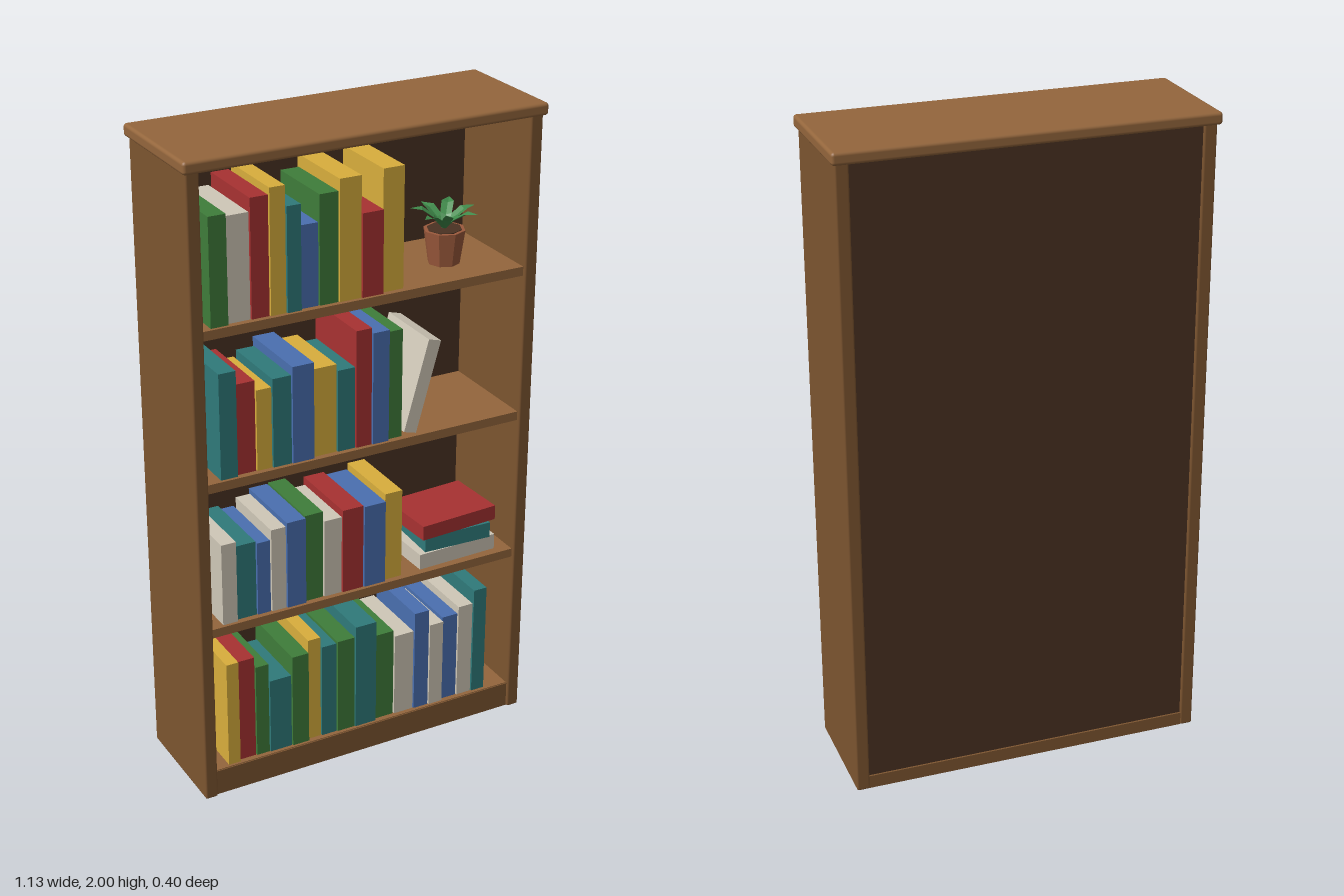
import * as THREE from 'three';
import { RoundedBoxGeometry } from 'three/addons/geometries/RoundedBoxGeometry.js';

const mat = (color, extra = {}) => Object.assign(new THREE.MeshStandardMaterial(extra), { color: new THREE.Color(color) });

const wood = mat(0x7d5530), lightWood = mat(0x94663c), darkWood = mat(0x4a3222);
const bookMats = {
  g: mat(0x3f7d3a), w: mat(0xd0c8b8), r: mat(0xa83232),
  y: mat(0xd9ae3c), t: mat(0x2f7a7a), b: mat(0x4a6fb0),
};

function add(parent, name, geometry, material, x, y, z) {
  const mesh = new THREE.Mesh(geometry, material);
  mesh.name = name;
  mesh.position.set(x, y, z);
  parent.add(mesh);
  return mesh;
}
const box = (w, h, d) => new THREE.BoxGeometry(w, h, d);

// Each row: floor height, left end, then [colour, thickness, height] per book
const rows = [
  { y: 1.51, x: -0.485, books: [['g', .056, .32], ['w', .071, .31], ['r', .057, .35], ['y', .05, .37], ['t', .046, .31],
    ['b', .057, .245], ['g', .061, .325], ['y', .071, .36], ['r', .069, .25], ['y', .07, .365]] },
  { y: 1.045, x: -0.467, books: [['t', .056, .326], ['r', .061, .28], ['y', .05, .25], ['t', .061, .275], ['b', .071, .3],
    ['y', .077, .275], ['t', .058, .255], ['r', .053, .366], ['b', .056, .35], ['g', .048, .34]] },
  { y: 0.575, x: -0.473, books: [['w', .05, .263], ['t', .066, .243], ['b', .045, .237], ['w', .05, .27], ['b', .064, .282],
    ['g', .061, .285], ['w', .061, .253], ['r', .071, .274], ['b', .074, .27], ['y', .061, .29]] },
  { y: 0.085, x: -0.467, books: [['y', .042, .35], ['r', .056, .345], ['g', .045, .31], ['t', .074, .25], ['g', .058, .313],
    ['y', .045, .35], ['t', .053, .315], ['g', .061, .32], ['t', .074, .355], ['g', .066, .3], ['w', .069, .28],
    ['b', .053, .342], ['w', .05, .288], ['b', .056, .297], ['w', .053, .32], ['t', .048, .366]] },
];

function makeBookRow({ y, x, books }) {
  const row = new THREE.Group();
  row.name = 'bookRow';
  books.forEach(([c, w, h], i) => {
    const depth = 0.235 + 0.008 * ((i * 5) % 3);
    const front = 0.165 - 0.003 * ((i * 3) % 4);
    add(row, 'book', box(w - 0.003, h, depth), bookMats[c], x + w / 2, y + h / 2, front - depth / 2);
    x += w;
  });
  return row;
}

// Folded leaf that rises and arches outward along +x
function leafGeometry() {
  const stations = [[0, 0, 0.005], [0.03, 0.035, 0.017], [0.065, 0.06, 0.018], [0.1, 0.066, 0.001]];
  const pos = [], idx = [];
  stations.forEach(([x, y, w], i) => {
    pos.push(x, y + w * 0.35, -w, x, y, 0, x, y + w * 0.35, w);
    if (i === 0) return;
    const a = (i - 1) * 3, b = i * 3;
    for (let k = 0; k < 2; k++) idx.push(a + k, a + k + 1, b + k, a + k + 1, b + k + 1, b + k);
  });
  const g = new THREE.BufferGeometry();
  g.setAttribute('position', new THREE.Float32BufferAttribute(pos, 3));
  g.setIndex(idx);
  g.computeVertexNormals();
  return g;
}

function makePlant() {
  const plant = new THREE.Group();
  plant.name = 'pottedPlant';
  const clay = mat(0x9c5a3c, { flatShading: true });
  const leafMat = mat(0x3f8a4a, { flatShading: true, side: THREE.DoubleSide });
  add(plant, 'pot', new THREE.CylinderGeometry(0.063, 0.048, 0.103, 8), clay, 0, 0.0515, 0);
  add(plant, 'soil', new THREE.CylinderGeometry(0.052, 0.052, 0.004, 8), darkWood, 0, 0.103, 0);
  const leaf = leafGeometry();
  for (let i = 0; i < 7; i++) {
    const m = add(plant, 'leaf', leaf, leafMat, 0, 0.1, 0);
    m.rotation.y = (i / 7) * Math.PI * 2;
    m.scale.y = i % 2 ? 1 : 0.88;
  }
  return plant;
}

export function createModel() {
  const model = new THREE.Group();
  model.name = 'bookcase';

  // Case
  for (const s of [-1, 1]) {
    add(model, s > 0 ? 'leftSide' : 'rightSide', new RoundedBoxGeometry(0.04, 1.97, 0.372, 1, 0.006), wood, s * 0.533, 0.985, 0);
  }
  add(model, 'topBoard', new RoundedBoxGeometry(1.128, 0.037, 0.396, 2, 0.01), lightWood, 0, 1.9815, 0);
  add(model, 'backPanel', box(1.03, 1.93, 0.012), darkWood, 0, 1.005, -0.171);
  add(model, 'plinth', box(1.03, 0.082, 0.34), wood, 0, 0.042, 0.007);
  add(model, 'backRail', box(1.03, 0.042, 0.02), wood, 0, 0.022, -0.173);
  add(model, 'bottomShelf', box(1.03, 0.004, 0.338), lightWood, 0, 0.083, 0.004);

  // Shelves
  for (const y of [0.575, 1.045, 1.51]) {
    add(model, 'shelf', box(1.03, 0.028, 0.34), lightWood, 0, y - 0.014, 0.005);
  }

  // Standing books
  rows.forEach((r) => model.add(makeBookRow(r)));

  // Leaning book, pivoting on its lower right edge
  const lean = new THREE.Group();
  lean.name = 'leaningBook';
  lean.position.set(0.171, 1.045, 0.04);
  lean.rotation.z = -0.276;
  add(lean, 'book', box(0.042, 0.29, 0.235), bookMats.w, -0.021, 0.145, 0);
  model.add(lean);

  // Stack of lying books
  const stack = [['w', 0.27, 0.05, 0.328, 0.03], ['t', 0.225, 0.05, 0.335, -0.04], ['r', 0.265, 0.047, 0.33, 0.06]];
  let y = 0.575;
  for (const [c, w, h, x, yaw] of stack) {
    add(model, 'lyingBook', box(w, h, 0.2), bookMats[c], x, y + h / 2, 0.05).rotation.y = yaw;
    y += h;
  }

  const plant = makePlant();
  plant.position.set(0.33, 1.51, 0.03);
  model.add(plant);
  return model;
}
